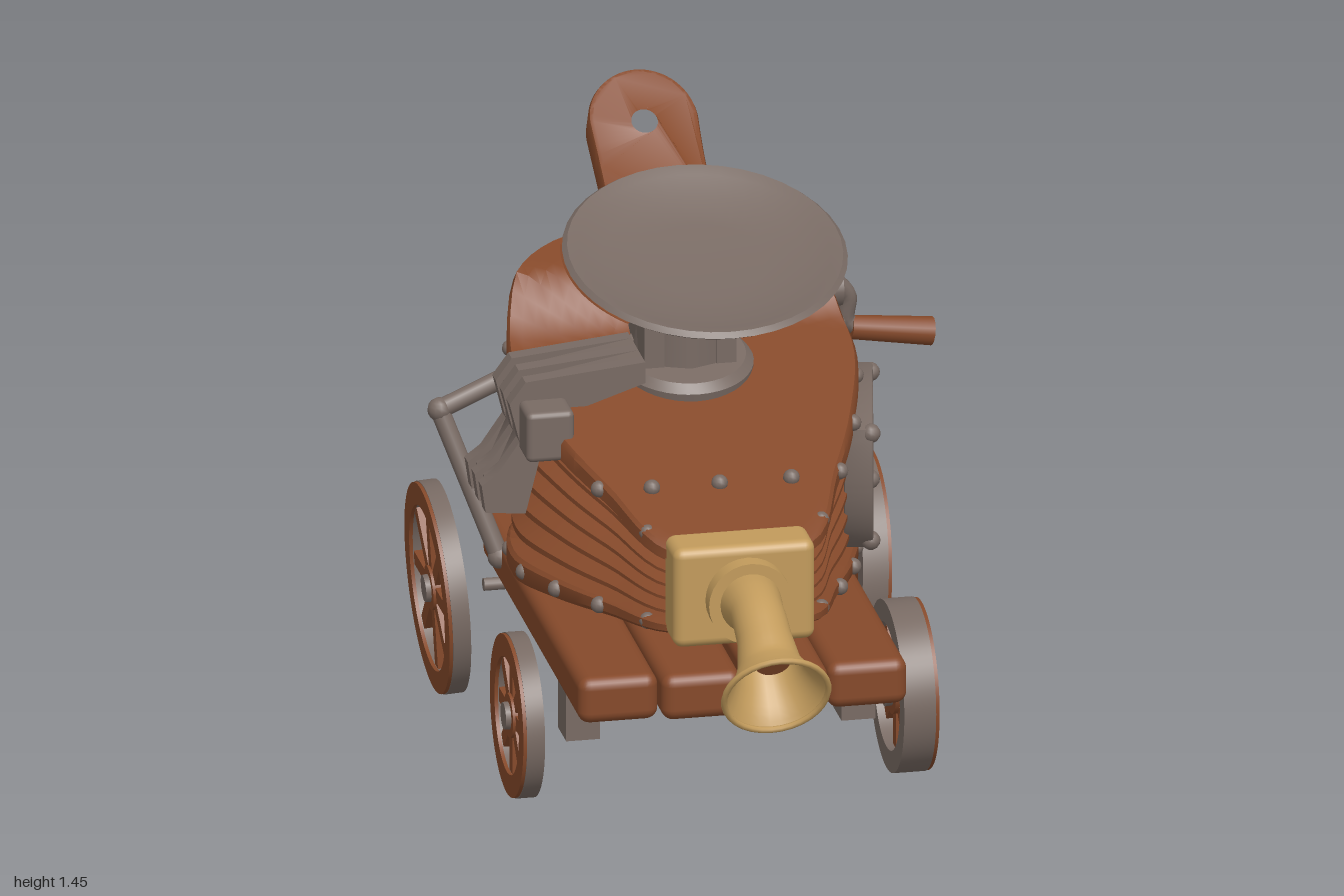
import * as THREE from 'three';
import { toCreasedNormals } from 'three/addons/utils/BufferGeometryUtils.js';
import { RoundedBoxGeometry } from 'three/addons/geometries/RoundedBoxGeometry.js';

const mat = (name, color, side = THREE.FrontSide) => Object.assign(new THREE.MeshStandardMaterial({ color, side }), { name });
const V = (x, y, z) => new THREE.Vector3(x, y, z);
const V2 = p => new THREE.Vector2(...p);
const PI = Math.PI;

// Piecewise linear lookup in [key, value] pairs with falling keys
function lookup(pairs, k) {
  let i = 1;
  while (i < pairs.length - 1 && k < pairs[i][0]) i++;
  const [k0, v0] = pairs[i - 1], [k1, v1] = pairs[i];
  return THREE.MathUtils.lerp(v0, v1, THREE.MathUtils.clamp((k0 - k) / (k0 - k1), 0, 1));
}

// Skin over closed rings of points
function loft(rows, crease) {
  const n = rows[0].length, index = [];
  for (let i = 0; i < rows.length - 1; i++)
    for (let j = 0; j < n; j++) {
      const a = i * n + j, b = i * n + (j + 1) % n;
      index.push(a, b, b + n, a, b + n, a + n);
    }
  const g = new THREE.BufferGeometry().setFromPoints(rows.flat());
  g.setIndex(index);
  return toCreasedNormals(g, crease);
}

function extrude(shape, depth, bevel = 0) {
  return toCreasedNormals(new THREE.ExtrudeGeometry(shape, {
    depth, bevelEnabled: bevel > 0, bevelSize: bevel, bevelThickness: bevel, bevelSegments: 2, curveSegments: 32 }), 0.6);
}
const lathe = (pts, ...arc) => toCreasedNormals(new THREE.LatheGeometry(pts.map(V2), 40, ...arc), 0.6);
const ball = r => new THREE.SphereGeometry(r, 12, 8);

export function createModel() {
  const wood = mat('wood', 0x85492a), iron = mat('iron', 0x786a63), brass = mat('brass', 0xc29b5c);
  const ironThin = mat('ironThin', 0x786a63, THREE.DoubleSide), brassThin = mat('brassThin', 0xc29b5c, THREE.DoubleSide);
  const woodThin = mat('woodThin', 0x85492a, THREE.DoubleSide);
  const root = new THREE.Group();
  const add = (name, geo, m, x = 0, y = 0, z = 0, parent = root) => {
    const mesh = new THREE.Mesh(geo, m);
    mesh.name = name;
    mesh.position.set(x, y, z);
    parent.add(mesh);
    return mesh;
  };
  const group = (name, x, y, z, rx, ry, rz) => {
    const g = new THREE.Group();
    g.name = name;
    g.position.set(x, y, z);
    g.rotation.set(rx, ry, rz, 'ZYX');
    root.add(g);
    return g;
  };
  const rod = (name, a, b, r, m = iron, r2 = r) => {
    const mesh = add(name, new THREE.CylinderGeometry(r2, r, a.distanceTo(b), 14), m);
    mesh.position.copy(a).lerp(b, 0.5);
    mesh.quaternion.setFromUnitVectors(V(0, 1, 0), b.clone().sub(a).normalize());
  };

  // Cart planks
  for (const [x, z0, z1] of [[-0.37, 0.46, -0.73], [-0.165, 0.48, -0.79], [0.05, 0.49, -0.85], [0.25, 0.48, -0.76]])
    add('plank', new RoundedBoxGeometry(0.2, 0.12, z0 - z1, 3, 0.03), wood, x, 0.35, (z0 + z1) / 2);

  // Wheels: iron tyre, wooden face and spokes, iron hub
  const ring = (r, inner) => {
    const s = new THREE.Shape().absarc(0, 0, r, 0, PI * 2);
    s.holes.push(new THREE.Path().absarc(0, 0, inner, 0, PI * 2, true));
    return s;
  };
  const wheel = (name, side, x, y, z, r, w, hubR, lean, backMat) => {
    const g = group(name, x, y, z, 0, side * PI / 2, lean), inner = r - 0.055;
    add('tyre', extrude(ring(r, inner), w - 0.01), iron, 0, 0, -w / 2, g);
    add('rimFace', extrude(ring(r - 0.002, inner - 0.003), 0.009), wood, 0, 0, w / 2 - 0.01, g);
    for (let i = 0; i < 8; i++) {
      const a = (i / 8) * PI * 2;
      add('spoke', new THREE.BoxGeometry(0.036, inner, w * 0.55), [wood, wood, wood, wood, wood, backMat],
        -Math.sin(a) * inner / 2, Math.cos(a) * inner / 2, 0, g).rotation.z = a;
    }
    add('hubRing', new THREE.CylinderGeometry(hubR * 1.4, hubR * 1.4, w * 0.8, 24).rotateX(PI / 2), wood, 0, 0, 0, g);
    add('hub', new THREE.CylinderGeometry(hubR * 0.85, hubR, w + 0.015, 20).rotateX(PI / 2), iron, 0, 0, 0, g);
  };
  wheel('frontLeftWheel', 1, 0.395, 0.24, 0.215, 0.215, 0.09, 0.05, 0, wood);
  wheel('rearLeftWheel', 1, 0.43, 0.28, -0.56, 0.277, 0.075, 0.042, -0.05, wood);
  wheel('frontRightWheel', -1, -0.575, 0.235, 0.21, 0.205, 0.055, 0.04, 0, iron);
  wheel('rearRightWheel', -1, -0.615, 0.283, -0.56, 0.265, 0.055, 0.04, 0.06, wood);
  rod('rearAxle', V(-0.5, 0.28, -0.56), V(0.42, 0.28, -0.56), 0.016);
  for (const x of [-0.42, 0.27]) add('axleBlock', new THREE.BoxGeometry(0.085, 0.18, 0.1), iron, x, 0.265, 0.21);

  // Bellows body: teardrop layers stacked between a sloping floor and lid, pleats fading to the rear
  const cx = -0.07, cz = -0.2;
  const half = [[0.5, 0.17], [0.25, 0.29], [0.05, 0.37], [-0.2, 0.43], [-0.4, 0.4], [-0.54, 0.31], [-0.62, 0.17]];
  const plan = new THREE.CatmullRomCurve3([...half.map(([z, w]) => V(w, 0, z)),
    ...half.slice().reverse().map(([z, w]) => V(-w, 0, z))], true).getSpacedPoints(72).slice(0, 72);
  const lidY = z => lookup([[0.5, 0.75], [-0.32, 1.02], [-0.43, 1.14], [-0.66, 1.18]], z);
  const floorY = z => lookup([[0.5, 0.53], [-0.2, 0.43], [-0.66, 0.4]], z);
  const inset = z => lookup([[0.2, 0.15], [-0.2, 0.1], [-0.45, 0.04]], z);
  const layers = [];
  for (let i = 0; i <= 14; i++) layers.push([0.001 + i * 0.07, 0, 0]);
  layers.push([1, 0.03, 0], [1, 0.1, 0], [0.98, 0.12, 0]);
  for (let i = 0; i < 5; i++) layers.push([0.98, 0.14 + i * 0.145, 1], [0.98, 0.2 + i * 0.145, 0.1], [0.98, 0.23 + i * 0.145, 0.1]);
  layers.push([0.98, 0.855, 0.5], [1, 0.87, 0], [1, 0.97, 0]);
  for (let i = 14; i >= 0; i--) layers.push([0.001 + i * 0.07, 1, 0]);
  add('bellows', loft(layers.map(([s, t, pleat]) => plan.map(p => {
    const k = s - pleat * inset(p.z), z = cz + (p.z - cz) * k;
    return V(cx + p.x * k, THREE.MathUtils.lerp(floorY(z), lidY(z), t), z);
  })), 0.6), wood);

  // Rivets along both boards
  for (const side of [-1, 1])
    for (const z of [0.4, 0.22, 0.04, -0.14, -0.33])
      for (const t of [0.065, 0.93])
        add('rivet', ball(0.021), iron, cx + side * lookup(half, z), THREE.MathUtils.lerp(floorY(z), lidY(z), t), z);
  for (const x of [-0.25, -0.08, 0.1]) add('rivet', ball(0.021), iron, x, lidY(0.27) + 0.004, 0.27);

  // Lid handle with a hole, bent upwards towards its tip
  const hs = new THREE.Shape();
  hs.moveTo(-0.2, 0).bezierCurveTo(-0.12, 0.1, -0.115, 0.2, -0.125, 0.47);
  hs.absarc(0, 0.47, 0.125, PI, 0, true).bezierCurveTo(0.115, 0.2, 0.12, 0.1, 0.2, 0);
  hs.holes.push(new THREE.Path().absarc(0, 0.46, 0.033, 0, PI * 2, true));
  const handle = extrude(hs, 0.058, 0.012), hp = handle.attributes.position;
  for (let i = 0; i < hp.count; i++) hp.setZ(i, hp.getZ(i) + 0.35 * Math.max(0, hp.getY(i) - 0.18) ** 2);
  add('lidHandle', toCreasedNormals(handle, 0.6), wood, -0.04, 1.07, -0.46).rotation.x = 0.46 - PI / 2;

  // Brass nozzle: block, collar and flared bent spout with a wooden plug
  add('nozzleBlock', new RoundedBoxGeometry(0.355, 0.26, 0.13, 3, 0.025), brass, -0.08, 0.65, 0.515);
  add('nozzleCollar', new THREE.CylinderGeometry(0.105, 0.105, 0.05, 28).rotateX(PI / 2), brass, -0.075, 0.645, 0.6);
  const path = new THREE.CatmullRomCurve3([[0.645, 0.6], [0.65, 0.7], [0.612, 0.79], [0.56, 0.86], [0.52, 0.93]].map(([y, z]) => V(0, y, z)));
  const rows = Array.from({ length: 21 }, (_, i) => {
    const c = path.getPoint(i / 20), t = path.getTangent(i / 20);
    const r = lookup([[1, 0.132], [0.88, 0.105], [0.72, 0.08], [0.5, 0.068], [0.25, 0.066], [0, 0.08]], i / 20);
    return Array.from({ length: 28 }, (_, j) => {
      const a = (j / 28) * PI * 2, s = r * Math.sin(a);
      return V(r * Math.cos(a), c.y + s * t.z, c.z - s * t.y);
    });
  });
  add('spout', loft(rows, 1), brassThin, -0.075);
  add('spoutLip', new THREE.TorusGeometry(0.13, 0.008, 8, 32), brass, -0.075, 0.52, 0.93).rotation.x = 0.5;
  add('spoutPlug', new THREE.CircleGeometry(0.045, 20), wood, -0.065, 0.57, 0.84).rotation.x = 0.5;

  // Dish on a stacked pedestal, with a wooden patch under its edge
  add('pedestalBase', lathe([[0, -0.06], [0.17, -0.06], [0.17, 0.0], [0.15, 0.02], [0, 0.02]]), iron, -0.07, 0.98, -0.2).rotation.x = 0.2;
  add('pedestalNeck', new THREE.CylinderGeometry(0.105, 0.125, 0.18, 12), iron, -0.07, 1.07, -0.23).rotation.x = 0.1;
  for (const x of [-0.16, 0.02]) add('neckRib', new THREE.BoxGeometry(0.05, 0.17, 0.2), iron, x, 1.07, -0.23);
  [0.15, 0.13, 0.11].forEach((r, i) =>
    add('spacerPlate', new THREE.CylinderGeometry(r, r, 0.012, 28), iron, -0.05, 1.155 + i * 0.022, -0.2).rotation.x = 0.22);
  const dish = group('dish', -0.02, 1.245, -0.2, 0.285, 0, 0);
  add('dishPlate', lathe([[0, -0.03], [0.2, -0.026], [0.33, -0.008], [0.352, 0.01], [0.34, 0.022], [0.31, 0.014], [0.25, -0.008],
    [0.15, -0.018], [0, -0.02]]), ironThin, 0, 0, 0, dish);
  add('dishPatch', lathe([[0.28, -0.018], [0.332, -0.012], [0.356, 0.009]], -1.8, 1.0), woodThin, 0, -0.002, 0, dish);

  // Side shield with raised rim
  const shieldShape = k => {
    const s = new THREE.Shape().moveTo(-0.2 * k, 0.15 * k);
    for (const c of [[0, 0.22, 0.2, 0.17], [0.23, 0, 0.19, -0.12], [0.04, -0.24, -0.12, -0.18], [-0.24, -0.08, -0.2, 0.15]])
      s.quadraticCurveTo(...c.map(v => v * k));
    return s;
  };
  const shield = group('shield', 0.355, 0.7, -0.15, 0, PI / 2 - 0.2, 0), rim = shieldShape(1);
  rim.holes.push(new THREE.Path(shieldShape(0.88).getPoints(12)));
  add('shieldPlate', extrude(shieldShape(0.95), 0.05), iron, 0, 0, -0.03, shield);
  add('shieldRim', extrude(rim, 0.06, 0.006), iron, 0, 0, -0.03, shield);
  for (const [x, y] of [[-0.19, 0.14], [0.19, 0.155], [0.17, -0.12], [-0.13, -0.165]]) add('shieldRivet', ball(0.024), iron, x, y, 0.03, shield);

  // Ribbed iron cover draped over the right edge of the lid
  for (let i = 0; i < 5; i++) {
    const k = 0.02 * (i % 2);
    const s = new THREE.Shape([[-0.2, 0.98], [-0.2, 1.035], [-0.5 + k, 1.005 - k], [-0.54 + k, 0.95], [-0.515, 0.85], [-0.57 + k, 0.77],
      [-0.61 + k, 0.74], [-0.6 + k, 0.67], [-0.5, 0.66], [-0.44, 0.9]].map(V2));
    add('edgeCoverRib', extrude(s, 0.042), iron, 0, 0, -0.26 + i * 0.042);
  }
  add('edgeCoverBlock', new RoundedBoxGeometry(0.12, 0.13, 0.11, 2, 0.015), iron, -0.46, 0.9, 0.01);

  // Sack hanging at the back
  add('sack', lathe([[0, -0.145], [0.06, -0.133], [0.105, -0.1], [0.135, -0.05], [0.142, 0], [0.133, 0.05], [0.105, 0.1], [0.06, 0.14],
    [0.04, 0.17], [0.04, 0.2], [0.075, 0.25], [0.03, 0.255], [0, 0.25]]), iron, 0.22, 0.605, -0.74);
  add('sackTie', new THREE.TorusGeometry(0.045, 0.014, 8, 20).rotateX(PI / 2), wood, 0.22, 0.79, -0.74);
  for (const [y, r] of [[0.9, 0.5], [0.97, -0.6]])
    add('ropeLoop', new THREE.TorusGeometry(0.05, 0.018, 8, 20), iron, 0.22, y, -0.7).rotation.set(0.3, PI / 2 + r, 0);
  rod('sackStrut', V(0.26, 0.48, -0.57), V(0.27, 0.86, -0.62), 0.025);

  // Crank, its grip and the long linkage down to the cart
  rod('crankShaft', V(0.15, 0.96, -0.68), V(0.42, 0.96, -0.68), 0.028);
  rod('crankHub', V(0.35, 0.95, -0.68), V(0.42, 0.95, -0.68), 0.05);
  add('crankArm', new THREE.TubeGeometry(new THREE.CatmullRomCurve3(
    [V(0.4, 0.97, -0.68), V(0.44, 0.92, -0.69), V(0.44, 0.85, -0.7), V(0.49, 0.82, -0.7)]), 14, 0.022, 10), iron);
  rod('crankGrip', V(0.45, 0.83, -0.7), V(0.655, 0.8, -0.71), 0.03, wood, 0.036);
  const knees = [V(0.2, 0.97, -0.7), V(-0.25, 0.86, -0.66), V(-0.6, 0.73, -0.61), V(-0.47, 0.37, -0.51)];
  for (let i = 0; i < 3; i++) {
    rod('linkageArm', knees[i], knees[i + 1], i ? 0.024 : 0.032);
    add('linkageJoint', ball(0.03), iron, ...knees[i + 1].toArray());
  }

  // Brass scoop with wooden inlay above the crank
  const arch = (w0, w1, h) => new THREE.Shape().moveTo(-w0, 0).lineTo(-w1, h).absellipse(0, h, w1, w1 * 0.7, PI, 0, true).lineTo(w0, 0);
  const scoop = group('scoop', 0.21, 0.99, -0.67, -0.15, 0, 0);
  add('scoopFrame', extrude(arch(0.055, 0.1, 0.18), 0.05), brass, 0, 0, 0, scoop);
  add('scoopInlay', extrude(arch(0.035, 0.075, 0.15), 0.006), wood, 0, 0.025, 0.048, scoop);
  return root;
}
